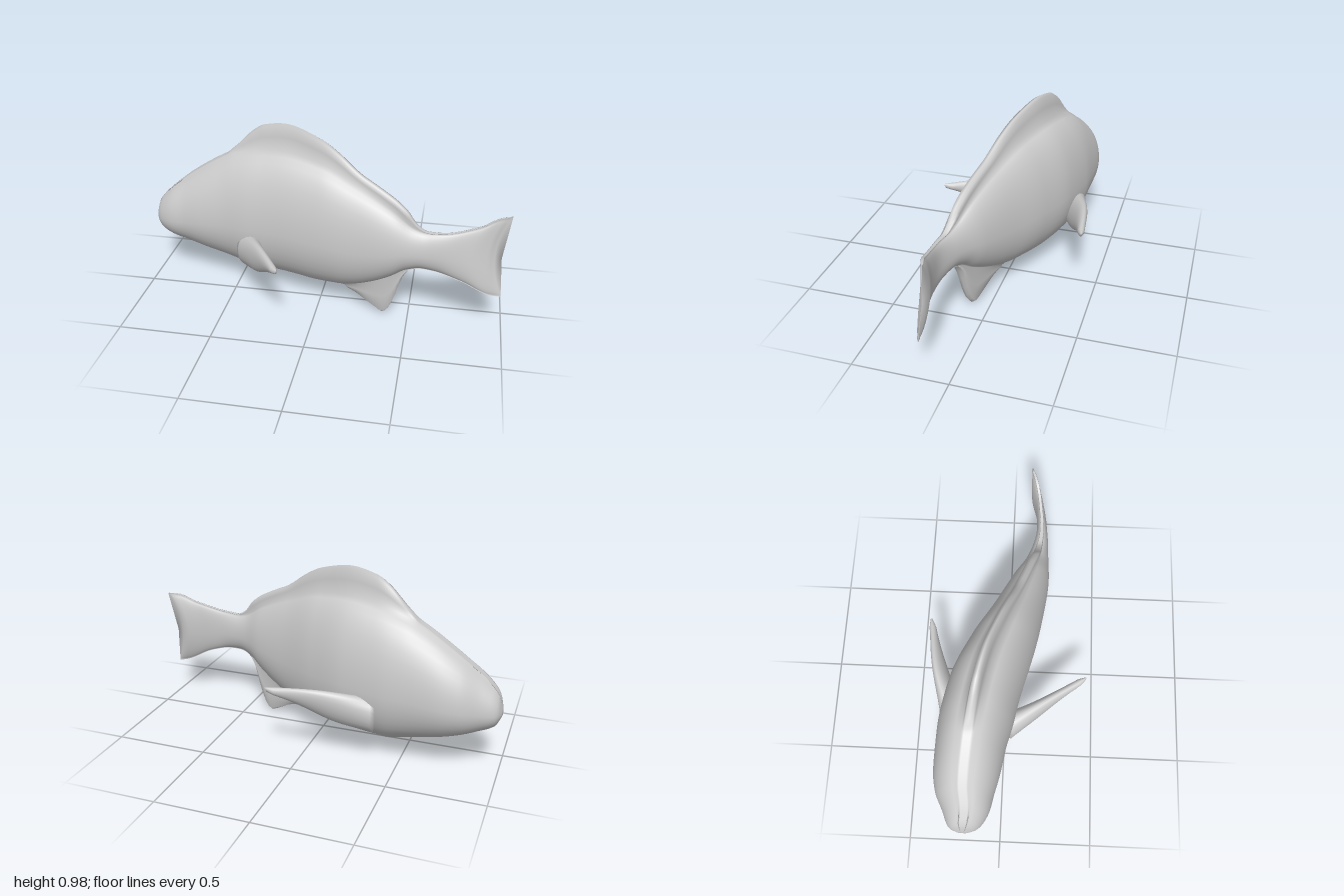
import * as THREE from 'three';

const material = new THREE.MeshStandardMaterial({ color: 0xcccccc, side: THREE.DoubleSide });

// Smooth (monotone) interpolation through [x, value] pairs
function profile(pts) {
  const n = pts.length;
  const slope = (i) => (pts[i + 1][1] - pts[i][1]) / (pts[i + 1][0] - pts[i][0]);
  const m = pts.map((p, i) => {
    if (i === 0) return slope(0);
    if (i === n - 1) return slope(n - 2);
    const a = slope(i - 1), b = slope(i);
    return a * b <= 0 ? 0 : (2 * a * b) / (a + b);
  });
  return (x) => {
    let i = 0;
    while (i < n - 2 && x > pts[i + 1][0]) i++;
    const h = pts[i + 1][0] - pts[i][0];
    const t = THREE.MathUtils.clamp((x - pts[i][0]) / h, 0, 1);
    const s = 1 - t;
    return pts[i][1] * (1 + 2 * t) * s * s + pts[i + 1][1] * t * t * (3 - 2 * t)
      + h * (m[i] * t * s * s - m[i + 1] * t * t * s);
  };
}

// Skin a list of closed rings (arrays of Vector3) and close both ends
function loft(name, rings) {
  const n = rings[0].length, last = rings.length - 1;
  const pos = [], index = [];
  rings.forEach((r) => r.forEach((p) => pos.push(p.x, p.y, p.z)));
  for (let i = 0; i < last; i++) {
    for (let j = 0; j < n; j++) {
      const k = (j + 1) % n;
      const a = i * n + j, b = i * n + k, c = a + n, d = b + n;
      index.push(a, c, b, b, c, d);
    }
  }
  for (const end of [0, last]) {
    const mid = new THREE.Vector3();
    rings[end].forEach((p) => mid.addScaledVector(p, 1 / n));
    const c = pos.length / 3;
    pos.push(mid.x, mid.y, mid.z);
    for (let j = 0; j < n; j++) {
      const a = end * n + j, b = end * n + ((j + 1) % n);
      index.push(c, ...(end ? [b, a] : [a, b]));
    }
  }
  const geo = new THREE.BufferGeometry();
  geo.setAttribute('position', new THREE.Float32BufferAttribute(pos, 3));
  geo.setIndex(index);
  geo.computeVertexNormals();
  const mesh = new THREE.Mesh(geo, material);
  mesh.name = name;
  return mesh;
}

// Body outlines along x: flesh top and bottom, fin crests, spine bend and half width
const top = profile([[-1, 0.37], [-0.98, 0.44], [-0.93, 0.5], [-0.85, 0.57], [-0.75, 0.645], [-0.6, 0.74],
  [-0.5, 0.79], [-0.35, 0.83], [-0.2, 0.845], [0, 0.82], [0.2, 0.74], [0.4, 0.64], [0.52, 0.56],
  [0.58, 0.545], [0.66, 0.55], [0.8, 0.595], [0.88, 0.64], [0.93, 0.645]]);
const crest = profile([[-0.56, 0], [-0.5, 0.03], [-0.45, 0.065], [-0.4, 0.1], [-0.33, 0.13], [-0.2, 0.14],
  [-0.05, 0.125], [0.1, 0.095], [0.25, 0.06], [0.4, 0.06], [0.47, 0.06], [0.52, 0.025], [0.58, 0]]);
const bottom = profile([[-1, 0.33], [-0.97, 0.275], [-0.9, 0.235], [-0.8, 0.2], [-0.7, 0.17], [-0.6, 0.145],
  [-0.5, 0.12], [-0.4, 0.1], [-0.1, 0.1], [0.1, 0.118], [0.2, 0.145], [0.3, 0.19], [0.4, 0.25],
  [0.48, 0.31], [0.56, 0.335], [0.63, 0.33], [0.75, 0.29], [0.88, 0.215], [0.93, 0.205]]);
const keel = profile([[0.1, 0], [0.2, 0.06], [0.28, 0.14], [0.34, 0.205], [0.365, 0.226], [0.39, 0.21],
  [0.43, 0.135], [0.46, 0.05], [0.5, 0]]);
const spine = profile([[-1, -0.19], [-0.9, -0.18], [-0.8, -0.19], [-0.6, -0.175], [-0.4, -0.145], [-0.2, -0.1],
  [0, -0.03], [0.2, 0.045], [0.4, 0.11], [0.55, 0.15], [0.7, 0.168], [0.8, 0.162], [0.93, 0.125]]);
const halfWidth = profile([[-1, 0.025], [-0.985, 0.065], [-0.96, 0.09], [-0.9, 0.12], [-0.8, 0.155], [-0.7, 0.175],
  [-0.55, 0.187], [-0.4, 0.2], [-0.2, 0.2], [0, 0.182], [0.2, 0.145], [0.4, 0.105], [0.5, 0.072],
  [0.6, 0.047], [0.75, 0.028], [0.9, 0.026], [0.92, 0.022], [0.93, 0.01]]);

// One cross-section: two half ellipses, a dorsal crest above and an anal fin below
function bodyRing(x) {
  const t = top(x), b = bottom(x), w = halfWidth(x), mid = b + 0.42 * (t - b);
  const up = crest(x), down = keel(x), e = Math.min(0.026, w * 0.3);
  const half = [[0, b - down], [e * 0.7, b - down * 0.93], [e, b - down * 0.5]];
  for (let i = 0; i <= 16; i++) {
    const a = THREE.MathUtils.degToRad(-80 + i * 10);
    half.push([w * Math.cos(a), mid + Math.sin(a) * (a < 0 ? mid - b : t - mid)]);
  }
  half.push([e, t + up * 0.5], [e * 0.7, t + up * 0.93], [0, t + up]);
  const mirrored = half.slice(1, -1).reverse().map(([z, y]) => [-z, y]);

  // The tail is forked and leans sideways; the belly is cut flat
  const tail = THREE.MathUtils.smoothstep(x, 0.6, 0.93);
  return [...half, ...mirrored].map(([z, y]) => {
    const v = (y - (t + b) / 2) / ((t - b) / 2);
    const flat = x < 0.14 ? Math.max(y, 0.12) : y;
    return new THREE.Vector3(x + tail * (v > 0 ? 0.07 : 0.05) * v * v, flat, spine(x) + z - tail * 0.025 * v);
  });
}

// Paddle fin between an upper and a lower edge curve, thinning to the tip
function paddleFin(name, upper, lower) {
  const curve = (pts) => new THREE.CatmullRomCurve3(pts.map((p) => new THREE.Vector3(...p)));
  const hi = curve(upper), lo = curve(lower), rings = [];
  for (let i = 0; i <= 24; i++) {
    const s = i / 24;
    const a = hi.getPoint(s), b = lo.getPoint(s);
    const mid = a.clone().add(b).multiplyScalar(0.5);
    const chord = a.clone().sub(mid);
    const side = hi.getTangent(s).cross(chord).normalize();
    const thick = (0.018 + 0.055 * (1 - s) ** 1.8) * Math.sqrt(Math.max(0.1, Math.min(1, (1 - s) * 12)));
    const ring = [];
    for (let j = 0; j < 20; j++) {
      const q = (j / 20) * Math.PI * 2;
      ring.push(mid.clone().addScaledVector(chord, -Math.cos(q)).addScaledVector(side, thick * Math.sin(q)));
    }
    rings.push(ring);
  }
  return loft(name, rings);
}

export function createModel() {
  const group = new THREE.Group();
  group.name = 'fish';

  // Body with dorsal, anal and tail fins; stations crowd towards the nose
  const rings = [];
  for (let i = 0; i <= 130; i++) rings.push(bodyRing(-1 + 1.93 * (i / 130) ** 1.35));
  group.add(loft('body', rings));

  // Pectoral fins, swept differently on the two sides of the bent body
  group.add(paddleFin('frontPectoralFin',
    [[-0.42, 0.36, 0], [-0.3, 0.4, 0.2], [-0.15, 0.405, 0.435]],
    [[-0.4, 0.16, 0], [-0.31, 0.225, 0.17], [-0.22, 0.32, 0.32], [-0.155, 0.38, 0.43]]));
  group.add(paddleFin('rearPectoralFin',
    [[-0.38, 0.36, -0.3], [-0.12, 0.41, -0.395], [0.16, 0.405, -0.435]],
    [[-0.36, 0.17, -0.26], [-0.18, 0.22, -0.32], [0.01, 0.32, -0.385], [0.15, 0.38, -0.43]]));
  return group;
}
